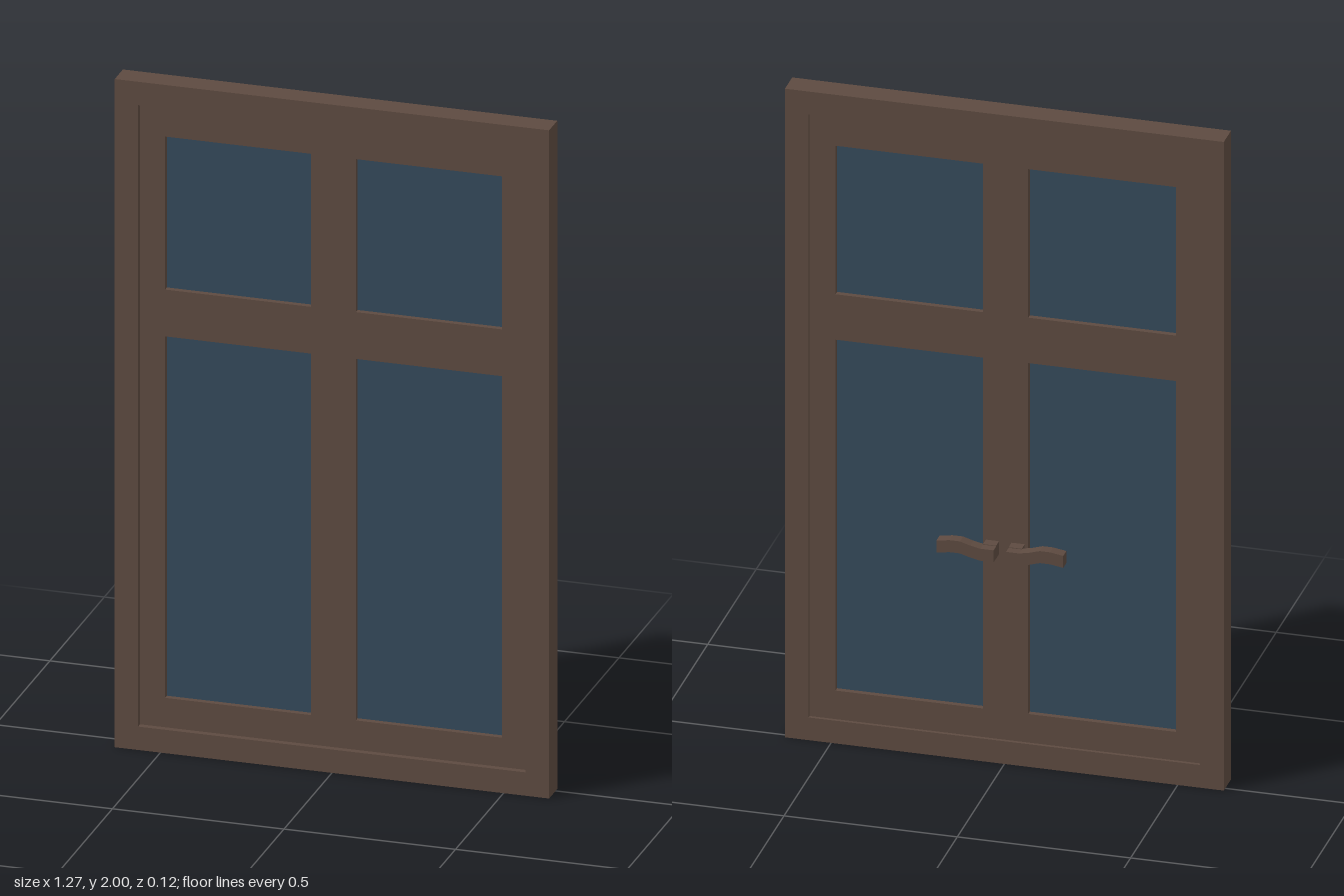
import * as THREE from 'three';

const wood = new THREE.MeshStandardMaterial({ color: 0x5d4a40 });
wood.name = 'brown wood';
const glass = new THREE.MeshStandardMaterial({ color: 0x34495a });
glass.name = 'dark blue glass';

// Rectangle as a point list: x0, x1, y0, y1
const rect = (x0, x1, y0, y1) => [
  new THREE.Vector2(x0, y0), new THREE.Vector2(x1, y0),
  new THREE.Vector2(x1, y1), new THREE.Vector2(x0, y1),
];

// Flat panel with rectangular openings, spanning z0 to z1
function panel(name, outer, openings, z0, z1) {
  const shape = new THREE.Shape(rect(...outer));
  openings.forEach((o) => shape.holes.push(new THREE.Path(rect(...o))));
  const geo = new THREE.ExtrudeGeometry(shape, { depth: z1 - z0, bevelEnabled: false });
  geo.translate(0, 0, z0);
  const mesh = new THREE.Mesh(geo, wood);
  mesh.name = name;
  return mesh;
}

function box(name, [x0, x1, y0, y1], z0, z1, material) {
  const geo = new THREE.BoxGeometry(x1 - x0, y1 - y0, z1 - z0);
  geo.translate((x0 + x1) / 2, (y0 + y1) / 2, (z0 + z1) / 2);
  const mesh = new THREE.Mesh(geo, material);
  mesh.name = name;
  return mesh;
}

// Wavy lever on a short stem, on the back face; side is +1 or -1
function handle(side) {
  const group = new THREE.Group();
  group.name = side > 0 ? 'leftHandle' : 'rightHandle';
  const xs = (a, b) => (side > 0 ? [a, b] : [-b, -a]);
  group.add(box('handleStem', [...xs(0.018, 0.056), 0.64, 0.68], -0.035, -0.004, wood));

  const thick = 0.037;
  const wave = [[0.018, 0.641], [0.056, 0.641], [0.085, 0.647], [0.115, 0.656], [0.145, 0.656], [0.183, 0.65]];
  const lower = wave.map(([x, y]) => new THREE.Vector2(side * x, y));
  const upper = wave.map(([x, y]) => new THREE.Vector2(side * x, y + thick)).reverse();
  const geo = new THREE.ExtrudeGeometry(new THREE.Shape([...lower, ...upper]), { depth: 0.033, bevelEnabled: false });
  geo.translate(0, 0, -0.062);
  const lever = new THREE.Mesh(geo, wood);
  lever.name = 'handleLever';
  group.add(lever);
  return group;
}

export function createModel() {
  const model = new THREE.Group();
  model.name = 'window';

  // Outer frame and the recessed sash inside it
  const inner = [-0.565, 0.565, 0.07, 1.93];
  model.add(panel('outerFrame', [-0.633, 0.633, 0, 2], [inner], -0.015, 0.06));

  const panes = [];
  for (const [x0, x1] of [[-0.492, -0.066], [0.064, 0.49]]) {
    for (const [y0, y1] of [[0.158, 1.24], [1.38, 1.838]]) panes.push([x0, x1, y0, y1]);
  }
  model.add(panel('sash', inner, panes, -0.005, 0.042));

  // Glass set between the sash faces
  panes.forEach((p) => model.add(box('glassPane', p, 0.011, 0.025, glass)));

  // Mirrored handles
  model.add(handle(1), handle(-1));
  return model;
}
